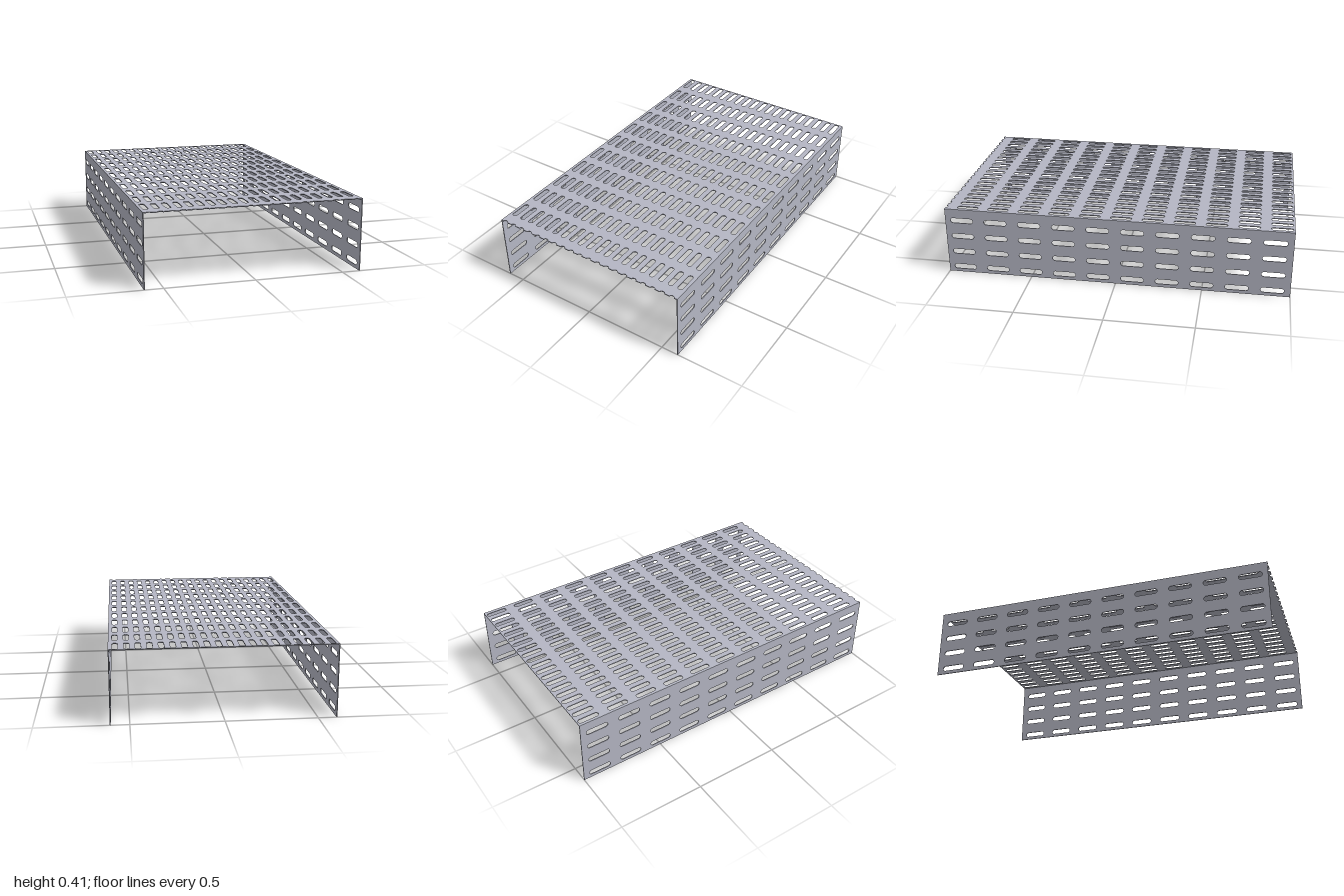
import * as THREE from 'three';

const W = 0.604, H = 0.406, T = 0.005; // half width, height, sheet thickness

// Rounded slot, long along x or along y
function slot(cx, cy, length, width, alongX) {
  const r = width / 2, d = length / 2 - r, p = new THREE.Path();
  if (alongX) {
    p.absarc(cx + d, cy, r, -Math.PI / 2, Math.PI / 2, false);
    p.absarc(cx - d, cy, r, Math.PI / 2, Math.PI * 1.5, false);
  } else {
    p.absarc(cx, cy + d, r, 0, Math.PI, false);
    p.absarc(cx, cy - d, r, Math.PI, Math.PI * 2, false);
  }
  p.closePath();
  return p;
}

const sheet = (shape) =>
  new THREE.ExtrudeGeometry(shape, { depth: T, bevelEnabled: false, curveSegments: 6 });

export function createModel() {
  const model = new THREE.Group();
  model.name = 'perforatedCableTray';
  const metal = new THREE.MeshStandardMaterial({ color: 0xb4b6c3 });
  metal.name = 'galvanised steel';

  const add = (geometry, name) => {
    const mesh = new THREE.Mesh(geometry, metal);
    mesh.name = name;
    model.add(mesh);
  };

  // Top sheet: 20 x 11 slots, with the next row just nicking the front edge
  const columns = Array.from({ length: 20 }, (_, i) => -0.573 + i * 0.0601);
  const top = new THREE.Shape();
  top.moveTo(-W, 1);
  top.lineTo(-W, -1);
  top.lineTo(W, -1);
  top.lineTo(W, 1);
  for (const x of [...columns].reverse()) {
    top.lineTo(x + 0.014, 1);
    top.absellipse(x, 1, 0.014, 0.011, 0, Math.PI, true);
  }
  top.closePath();
  for (const x of columns) {
    for (let j = 0; j < 11; j++) top.holes.push(slot(x, -0.93 + j * 0.18, 0.122, 0.029, false));
  }
  add(sheet(top).rotateX(Math.PI / 2).translate(0, H, 0), 'topSheet');

  // Side walls: 10 x 4 slots each
  const wall = new THREE.Shape();
  wall.moveTo(-1, 0);
  wall.lineTo(1, 0);
  wall.lineTo(1, H - T);
  wall.lineTo(-1, H - T);
  wall.closePath();
  for (let i = 0; i < 10; i++) {
    for (let j = 0; j < 4; j++) wall.holes.push(slot(-0.902 + i * 0.2, 0.035 + j * 0.1, 0.133, 0.03, true));
  }
  const wallGeometry = sheet(wall).rotateY(Math.PI / 2);
  add(wallGeometry.clone().translate(W - T, 0, 0), 'leftWall');
  add(wallGeometry.translate(-W, 0, 0), 'rightWall');

  return model;
}
